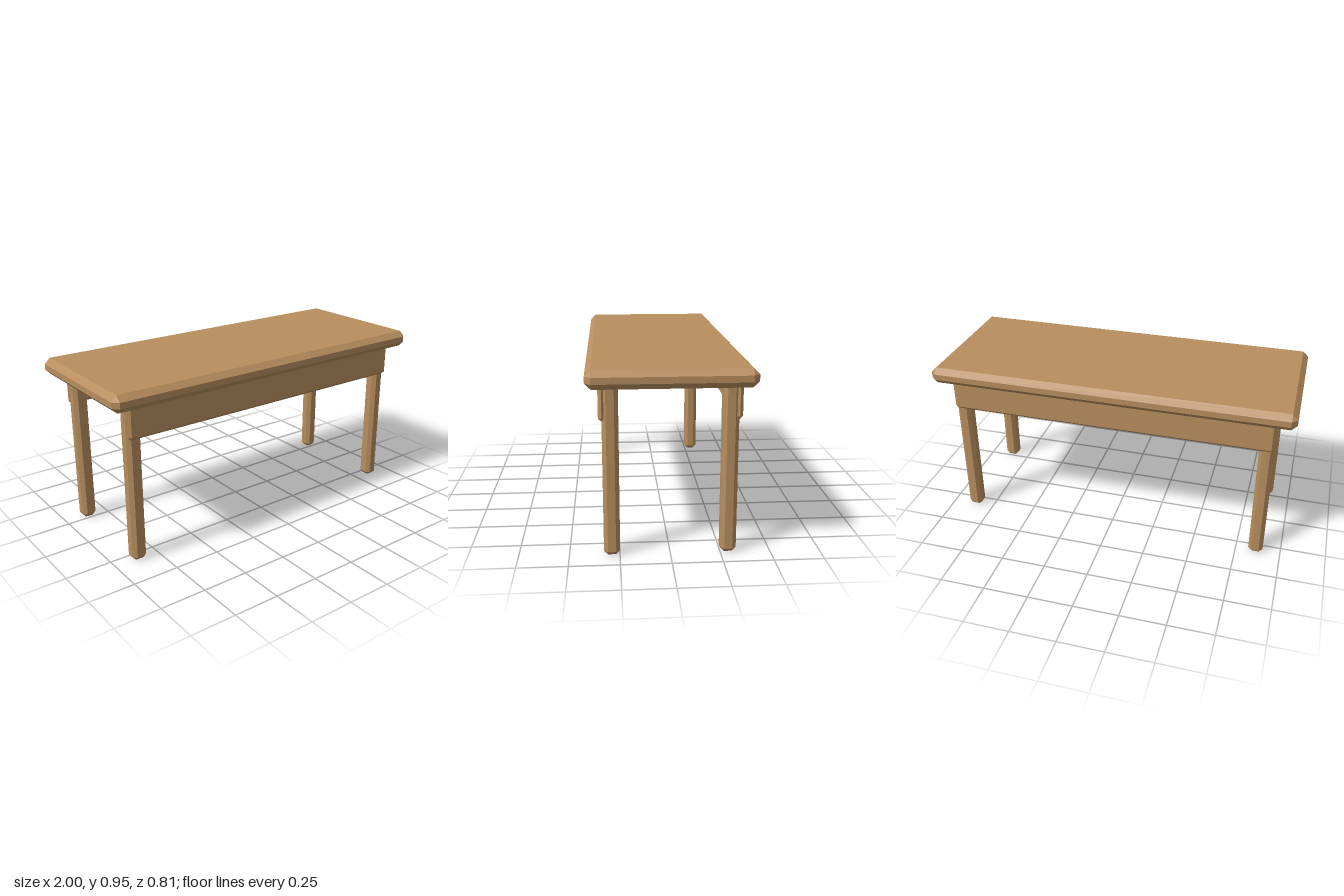
import * as THREE from 'three';
import { ConvexGeometry } from 'three/addons/geometries/ConvexGeometry.js';

// Box with every edge cut at 45 degrees and small triangular corners
function chamferedBox(w, h, d, bevel) {
  const half = [w / 2, h / 2, d / 2];
  const points = [];
  for (const sx of [-1, 1]) for (const sy of [-1, 1]) for (const sz of [-1, 1]) {
    const sign = [sx, sy, sz];
    // each corner becomes three points, one on each adjoining face
    for (let face = 0; face < 3; face++) {
      const p = half.map((v, i) => sign[i] * (i === face ? v : v - bevel));
      points.push(new THREE.Vector3(...p));
    }
  }
  return new ConvexGeometry(points);
}

export function createModel() {
  const table = new THREE.Group();
  table.name = 'table';
  const wood = new THREE.MeshStandardMaterial({ color: 0xb88e5f });
  wood.name = 'wood';

  const add = (name, geometry, x, y, z) => {
    const mesh = new THREE.Mesh(geometry, wood);
    mesh.name = name;
    mesh.position.set(x, y, z);
    table.add(mesh);
  };

  // Table top
  add('tableTop', chamferedBox(2, 0.092, 0.808, 0.03), 0, 0.905, 0);

  // Legs, running up into the top, and one apron on each long side
  const leg = chamferedBox(0.08, 0.89, 0.08, 0.02);
  const apron = chamferedBox(1.804, 0.185, 0.033, 0.016);
  for (const [side, sz] of [['front', 1], ['back', -1]]) {
    add(side + 'Apron', apron, 0, 0.778, sz * 0.329);
    for (const [hand, sx] of [['Left', 1], ['Right', -1]]) {
      add(side + hand + 'Leg', leg, sx * 0.861, 0.445, sz * 0.289);
    }
  }
  return table;
}
